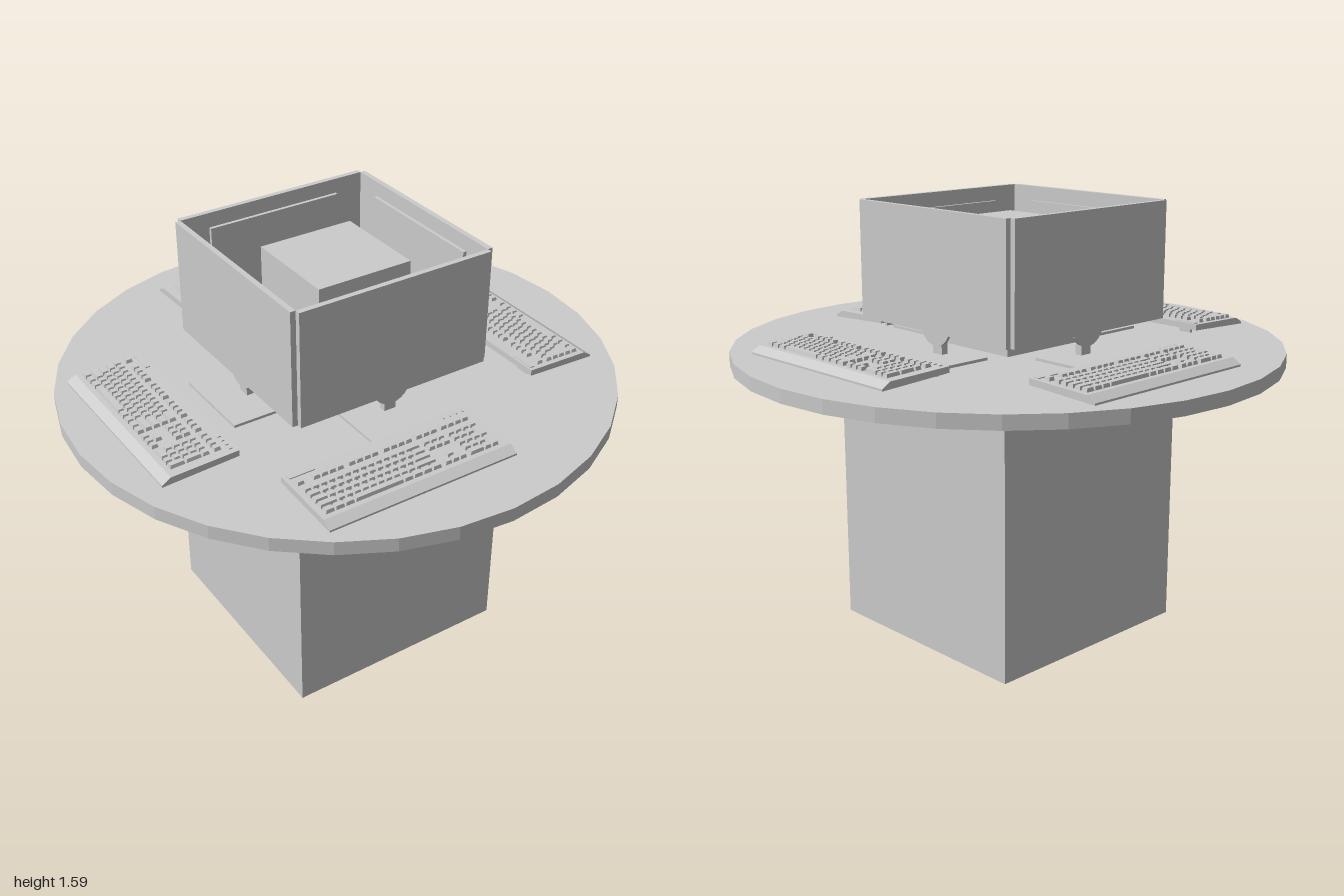
import * as THREE from 'three';
import { mergeGeometries } from 'three/addons/utils/BufferGeometryUtils.js';

const mat = new THREE.MeshStandardMaterial({ color: 0xcccccc, flatShading: true });
const TABLE_Y = 1.07;

function add(parent, name, geo, x = 0, y = 0, z = 0) {
  const m = new THREE.Mesh(geo, mat);
  m.name = name;
  m.position.set(x, y, z);
  parent.add(m);
  return m;
}

// box given by its min and max on each axis
function span(parent, name, x0, x1, y0, y1, z0, z1) {
  return add(parent, name, new THREE.BoxGeometry(x1 - x0, y1 - y0, z1 - z0),
    (x0 + x1) / 2, (y0 + y1) / 2, (z0 + z1) / 2);
}

// key cap: a box narrowing towards its top
function keyCap(x, z, w, d, h = 0.013) {
  const g = new THREE.BoxGeometry(w, h, d);
  const p = g.attributes.position;
  for (let i = 0; i < p.count; i++) {
    if (p.getY(i) > 0) {
      p.setX(i, p.getX(i) - Math.sign(p.getX(i)) * 0.003);
      p.setZ(i, p.getZ(i) - Math.sign(p.getZ(i)) * 0.003);
    }
  }
  return g.translate(x, h / 2, z);
}

// hollow square column, open at the bottom
function pedestalGeometry() {
  const o = 0.432, i = 0.412;
  const square = (s) => [[-s, -s], [s, -s], [s, s], [-s, s]].map(([x, y]) => new THREE.Vector2(x, y));
  const shape = new THREE.Shape(square(o));
  shape.holes.push(new THREE.Path(square(i)));
  return new THREE.ExtrudeGeometry(shape, { depth: 1.025, bevelEnabled: false }).rotateX(-Math.PI / 2);
}

// all keys as rows of widths; negative numbers are gaps
function keysGeometry() {
  const U = 0.0295, GAP = 0.0045, LEFT = -0.345;
  const n = (count, w = 1) => Array(count).fill(w);
  const nav = [-0.4, 1, 1, 1, -0.4], noNav = [-3.8];
  const rows = [
    [1, -1, ...n(4), -0.5, ...n(4), -0.5, ...n(4), ...nav, ...n(4)],
    [...n(13), 2, ...nav, ...n(4)],
    [1.5, ...n(12), 1.5, ...nav, ...n(3)],
    [1.75, ...n(11), 2.25, ...noNav, ...n(3)],
    [2.25, ...n(10), 2.75, -1.4, 1, -1.4, ...n(3)],
    [1.25, 1.25, 1.25, 6.25, ...n(4, 1.25), ...nav, 2, 1],
  ];
  const zOf = (r) => (r === 0 ? -0.083 : -0.041 + (r - 1) * U);
  const parts = [];
  rows.forEach((row, r) => {
    let x = LEFT;
    for (const w of row) {
      const len = Math.abs(w) * U;
      if (w > 0) parts.push(keyCap(x + len / 2, zOf(r), len - GAP, U - GAP));
      x += len;
    }
  });
  // double-height keys at the end of the number pad
  const endX = LEFT + 22.3 * U;
  for (const r of [2, 4]) parts.push(keyCap(endX, zOf(r) + U / 2, U - GAP, 2 * U - GAP));
  // media strip and indicator lights
  parts.push(new THREE.BoxGeometry(0.095, 0.004, 0.018).translate(-0.3, 0.002, -0.122));
  for (let i = 0; i < 4; i++) {
    parts.push(new THREE.BoxGeometry(0.006, 0.004, 0.012).translate(0.26 + i * 0.026, 0.002, -0.122));
  }
  return mergeGeometries(parts);
}

function keyboardBodyGeometry() {
  const W = 0.725;
  const profile = [[0.14, 0.003], [0.14, 0.01], [0.107, 0.03], [-0.14, 0.038], [-0.14, 0.016]];
  const shape = new THREE.Shape(profile.map(([z, y]) => new THREE.Vector2(z, y)));
  return new THREE.ExtrudeGeometry(shape, { depth: W, bevelEnabled: false })
    .rotateY(-Math.PI / 2).translate(W / 2, 0, 0);
}

function createKeyboard(bodyGeo, keysGeo) {
  const g = new THREE.Group();
  g.name = 'keyboard';
  add(g, 'keyboardBody', bodyGeo);
  const keys = add(g, 'keys', keysGeo, 0, 0.033, 0);
  keys.rotation.x = Math.atan2(0.008, 0.247);
  for (const s of [-1, 1]) {
    span(g, 'keyboardFoot', s * 0.3 - 0.025, s * 0.3 + 0.025, 0, 0.02, -0.128, -0.115);
  }
  return g;
}

// monitor facing +z
function createMonitor() {
  const g = new THREE.Group();
  g.name = 'monitor';
  span(g, 'screenPanel', -0.375, 0.375, 1.16, 1.585, 0.375, 0.395);
  span(g, 'backHousing', -0.265, 0.265, 1.18, 1.53, 0.362, 0.376);
  const hub = new THREE.CylinderGeometry(0.075, 0.075, 0.012, 24).rotateX(Math.PI / 2);
  add(g, 'mountDisc', hub, 0, 1.185, 0.368);
  span(g, 'standPost', -0.023, 0.023, TABLE_Y, 1.3, 0.337, 0.364);
  span(g, 'standBase', -0.16, 0.16, TABLE_Y - 0.002, 1.08, 0.277, 0.492);
  return g;
}

export function createModel() {
  const model = new THREE.Group();
  model.name = 'computerTable';

  // table
  add(model, 'tableTop', new THREE.CylinderGeometry(1, 1, 0.05, 32), 0, TABLE_Y - 0.025, 0);
  add(model, 'pedestal', pedestalGeometry());

  // computer case in the middle
  span(model, 'computerCase', -0.187, 0.182, TABLE_Y - 0.002, 1.515, -0.187, 0.182);

  // ring of four monitors
  const monitors = new THREE.Group();
  monitors.name = 'monitors';
  monitors.position.set(-0.012, 0, -0.012);
  for (let i = 0; i < 4; i++) {
    const m = createMonitor();
    m.rotation.y = i * Math.PI / 2;
    monitors.add(m);
  }
  model.add(monitors);

  // keyboards: front, left, back, right side of the table
  const body = keyboardBodyGeometry(), keys = keysGeometry();
  [[-0.18, 0.65], [0.66, 0.098], [0.085, -0.698], [-0.72, -0.048]].forEach(([x, z], i) => {
    const k = createKeyboard(body, keys);
    k.position.set(x, TABLE_Y, z);
    k.rotation.y = i * Math.PI / 2;
    model.add(k);
  });
  return model;
}
